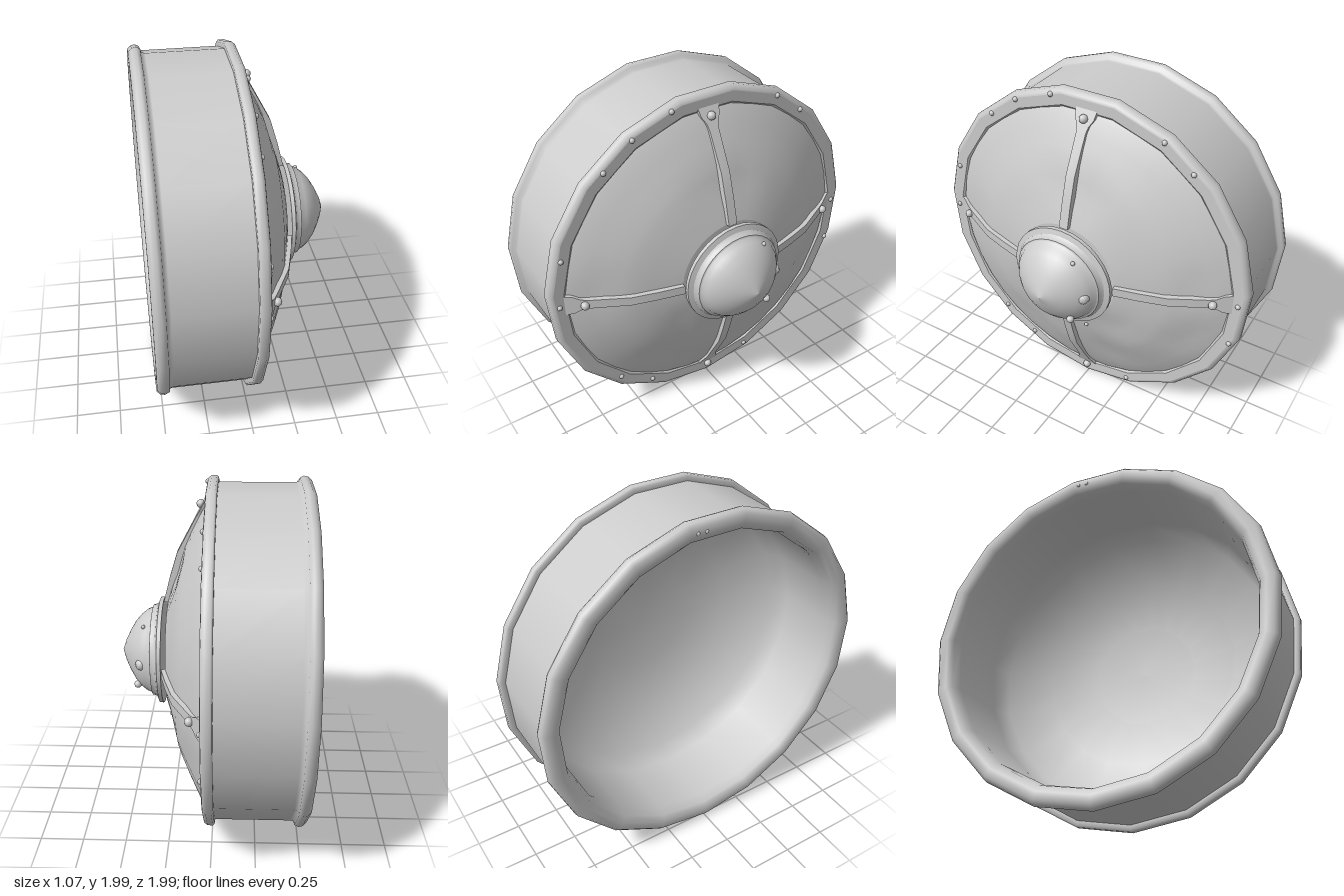
import * as THREE from 'three';

const SIDES = 19;

export function createModel() {
  const model = new THREE.Group();
  const grey = new THREE.MeshStandardMaterial({ color: 0xcccccc, side: THREE.DoubleSide });

  function add(name, geometry, parent = model) {
    const mesh = new THREE.Mesh(geometry, grey);
    mesh.name = name;
    parent.add(mesh);
    return mesh;
  }

  // Lathe around the x axis; profile is [radius, x]. Repeated points make a sharp edge.
  function turned(profile, sides) {
    const points = profile.map(([r, x]) => new THREE.Vector2(r, x));
    const g = new THREE.LatheGeometry(points, sides, Math.PI / 2);
    g.rotateZ(-Math.PI / 2);
    return g;
  }

  // Deep drum: inner bowl, rounded rear lip and outer wall
  add('drumBody', turned([
    [0, 0.22], [0.31, 0.22], [0.58, 0.15], [0.84, 0.02], [0.88, -0.1], [0.88, -0.46],
    [0.895, -0.51], [0.93, -0.53], [0.975, -0.53], [0.995, -0.51], [1, -0.485],
    [0.99, -0.465], [0.97, -0.46], [0.965, -0.44], [0.965, -0.02],
  ], SIDES));

  // Front rim band
  add('frontRim', turned([
    [0.89, -0.02], [0.97, -0.02], [0.99, -0.02], [1, -0.01], [1, 0.02], [0.985, 0.038],
    [0.97, 0.042], [0.97, 0.042], [0.91, 0.042], [0.91, 0.042], [0.895, 0.03], [0.89, -0.02],
  ], SIDES));

  // Conical front panel with shallow dents
  const panel = turned([
    [0.92, 0.015], [0.88, 0.045], [0.8, 0.085], [0.72, 0.125], [0.64, 0.162], [0.57, 0.19],
    [0.48, 0.215], [0.4, 0.238], [0.31, 0.262], [0.31, 0.262], [0, 0.262],
  ], SIDES * 2);
  const dents = [ // z, y, depth, size
    [0.1, 0.52, 0.015, 0.09], [-0.1, 0.52, 0.02, 0.1], [0.32, -0.56, 0.022, 0.14],
    [-0.2, -0.6, 0.025, 0.13], [-0.73, -0.28, 0.02, 0.1], [0.76, 0.03, 0.015, 0.1],
    [-0.72, 0.08, 0.015, 0.1], [0.3, -0.26, 0.012, 0.1], [-0.28, -0.3, 0.012, 0.1],
  ];
  const p = panel.attributes.position;
  for (let i = 0; i < p.count; i++) {
    let x = p.getX(i);
    if (Math.hypot(p.getY(i), p.getZ(i)) < 0.35) continue;
    for (const [z, y, depth, size] of dents) {
      const d = Math.hypot(p.getZ(i) - z, p.getY(i) - y) / size;
      x -= depth * Math.exp(-d * d);
    }
    p.setX(i, x);
  }
  panel.computeVertexNormals();
  add('frontPanel', panel);

  // Four straps with flared outer ends: [radius, top x, half width]
  const sections = [
    [0.31, 0.285, 0.03], [0.45, 0.25, 0.03], [0.6, 0.205, 0.03], [0.8, 0.1, 0.032],
    [0.835, 0.082, 0.04], [0.87, 0.064, 0.064], [0.915, 0.04, 0.072],
  ];
  for (let k = 0; k < 4; k++) {
    const g = new THREE.BoxGeometry(1, 1, 1, 1, sections.length - 1, 1);
    const q = g.attributes.position;
    for (let i = 0; i < q.count; i++) {
      const [r, top, half] = sections[Math.round((q.getY(i) + 0.5) * (sections.length - 1))];
      const upper = q.getX(i) > 0;
      // slightly bevelled sides
      q.setXYZ(i, upper ? top : top - 0.05, r, Math.sign(q.getZ(i)) * half * (upper ? 0.88 : 1));
    }
    g.computeVertexNormals();
    add('strap', g).rotation.x = k * Math.PI / 2;
  }

  // Central boss, standing just clear of the panel
  add('boss', turned([
    [0, 0.288], [0.31, 0.288], [0.31, 0.288], [0.31, 0.31], [0.31, 0.31], [0.28, 0.32], [0.28, 0.32],
    [0.268, 0.335], [0.265, 0.352], [0.265, 0.352], [0.252, 0.355], [0.24, 0.385], [0.215, 0.417],
    [0.175, 0.452], [0.125, 0.482], [0.065, 0.511], [0, 0.533],
  ], 32));

  // Round rivet heads: [x, height from the axis, z, radius]
  const rivets = new THREE.Group();
  rivets.name = 'rivets';
  model.add(rivets);
  const rivet = (name, x, y, z, r) =>
    add(name, new THREE.SphereGeometry(r, 10, 8), rivets).position.set(x, y, z);
  [
    [0.94, 0.22], [0.85, 0.45], [0.72, 0.62], [0.29, 0.9], [0, 0.94], [-0.7, 0.62], [-0.84, 0.41],
    [-0.905, -0.29], [-0.28, -0.92], [0, -0.94], [0.72, -0.62], [0.85, -0.45],
  ].forEach(([y, z]) => rivet('rimRivet', 0.042, y, z, 0.015));
  [[0.1, 0, 0.82], [0.1, 0, -0.82], [0.072, 0.87, 0], [0.046, -0.93, 0]]
    .forEach(([x, y, z]) => rivet('strapRivet', x, y, z, 0.024));
  [[0.405, 0, -0.2, 0.035], [0.438, -0.16, -0.135, 0.022], [0.395, 0.2, -0.13, 0.012], [0.247, -0.36, -0.12, 0.012]]
    .forEach(([x, y, z, r]) => rivet('bossRivet', x, y, z, r));
  for (const z of [-0.12, -0.07]) rivet('rearRivet', -0.525, 0.93, z, 0.012);

  model.children.forEach((part) => { part.position.y += 1; });
  return model;
}
